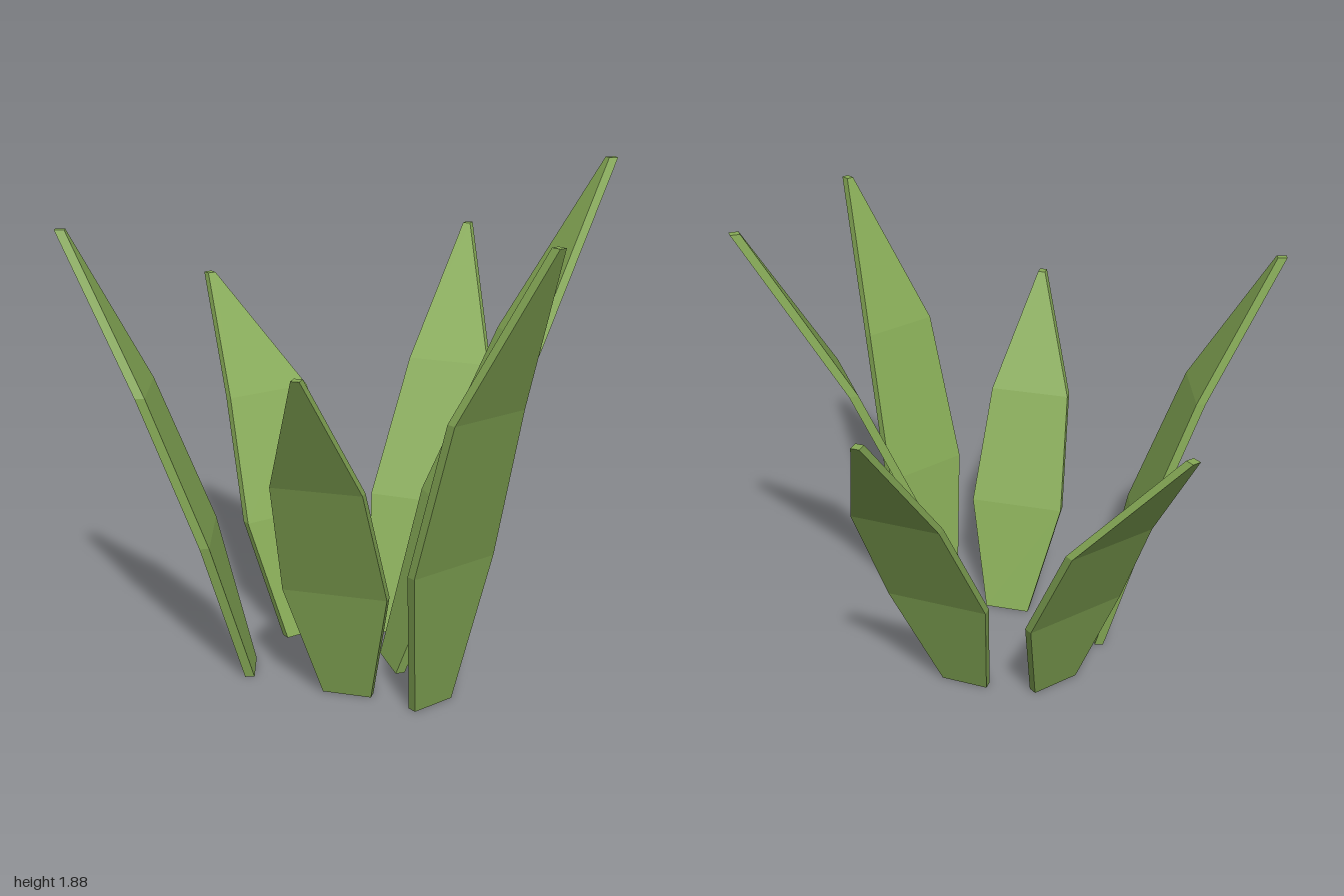
import * as THREE from 'three';

// Shared blade profile at four levels, from base to tip
const WIDTH = [0.187, 0.392, 0.332, 0.03];
const LEAN = [0, 0.23, 0.56, 1];
const BOW = [0, 0.028, 0.055, 0];
const THICKNESS = 0.035;

// base x, base z, outward direction x and z, height, lean, size, sideways bow
const LEAVES = [
  { name: 'backLeaf', x: 0.075, z: -0.1, out: [0, -1], height: 1.5, lean: 0.865, size: 1, bow: 1 },
  { name: 'backLeftLeaf', x: 0.151, z: 0.154, out: [0.777, -0.63], height: 1.88, lean: 0.825, size: 1, bow: 1 },
  { name: 'frontLeftLeaf', x: 0.39, z: 0.39, out: [0.866, 0.5], height: 1.74, lean: 0.56, size: 0.92, bow: 0.9 },
  { name: 'frontRightLeaf', x: -0.302, z: 0.368, out: [-0.924, 0.383], height: 1.67, lean: 0.625, size: 0.85, bow: -0.9 },
  { name: 'frontLeaf', x: 0.098, z: 0.412, out: [0.1, 0.995], height: 1.33, lean: 0.55, size: 0.97, bow: 0.25 },
  { name: 'backRightLeaf', x: -0.238, z: 0.005, out: [-0.83, -0.56], height: 1.33, lean: 0.715, size: 1.08, bow: 1.35 },
];

// A box in three segments, widened, tapered and bent outward (local -z)
function bladeGeometry({ height, lean, size, bow }) {
  const box = new THREE.BoxGeometry(1, 1, 1, 1, 3, 1);
  const p = box.attributes.position;
  for (let i = 0; i < p.count; i++) {
    const level = Math.round((p.getY(i) + 0.5) * 3);
    p.setXYZ(
      i,
      p.getX(i) * WIDTH[level] * size + BOW[level] * bow,
      (height * level) / 3,
      -LEAN[level] * lean - (0.5 - p.getZ(i)) * THICKNESS
    );
  }
  // Separate triangles give faceted normals
  const flat = box.toNonIndexed();
  flat.computeVertexNormals();
  return flat;
}

export function createModel() {
  const plant = new THREE.Group();
  plant.name = 'plant';
  const leafGreen = new THREE.MeshStandardMaterial({ color: 0x86aa56 });
  leafGreen.name = 'leafGreen';

  for (const leaf of LEAVES) {
    const mesh = new THREE.Mesh(bladeGeometry(leaf), leafGreen);
    mesh.name = leaf.name;
    mesh.position.set(leaf.x, 0, leaf.z);
    mesh.rotation.y = Math.atan2(-leaf.out[0], -leaf.out[1]);
    plant.add(mesh);
  }
  return plant;
}
